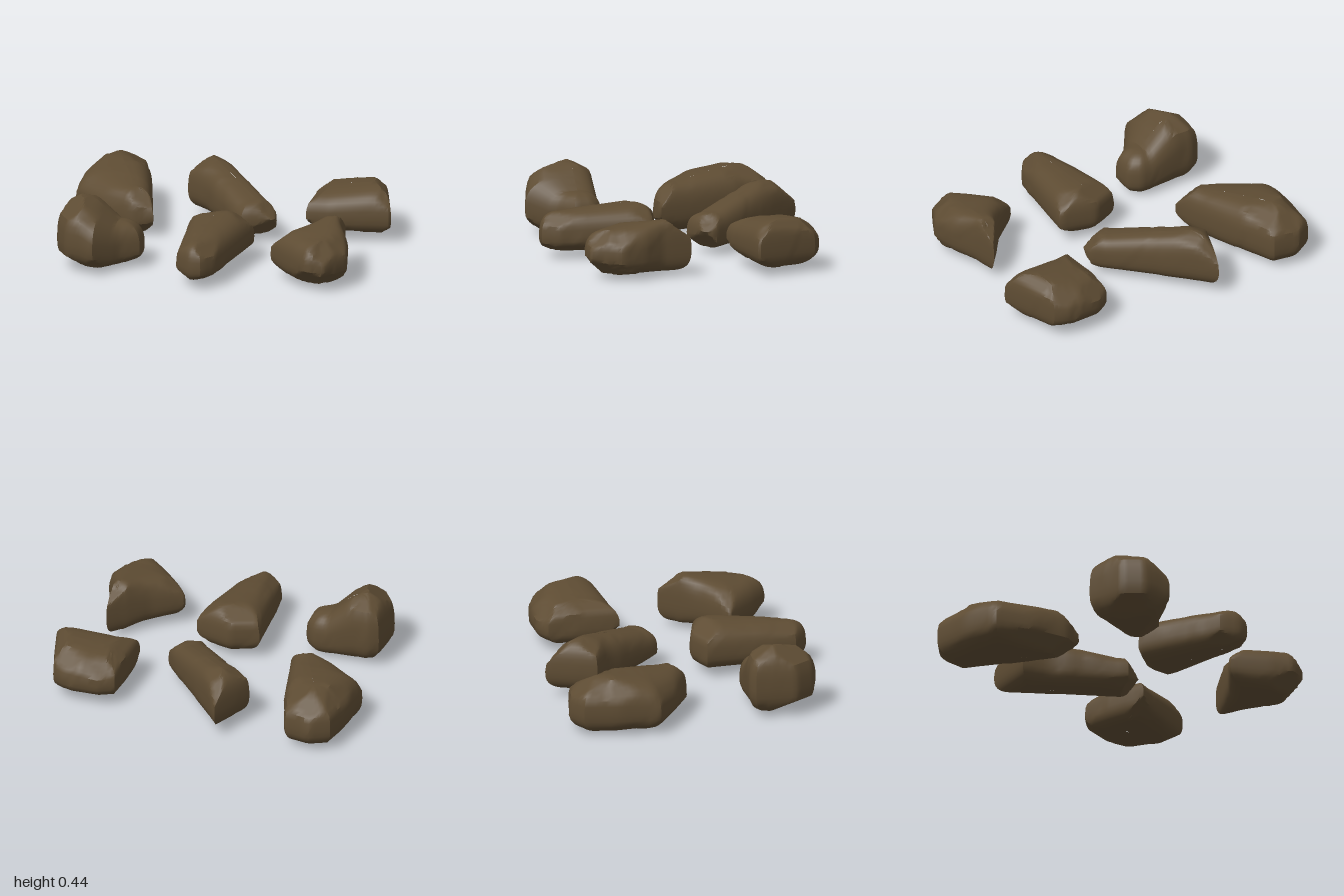
import * as THREE from 'three';
import { toCreasedNormals } from 'three/addons/utils/BufferGeometryUtils.js';

const SEGMENTS = 64, RINGS = 18;
const BELT = 0.4;   // height of the widest girth, as a share of the rock
const BLOCK = 0.73; // below 1 squares the shoulders

function seededRandom(seed) {
  let s = seed * 7919 + 17;
  return () => (s = (s * 16807) % 2147483647) / 2147483647;
}

// Closest point on the ridge line [x, z, height] between its two ends
function nearestOnRidge([a, b], p) {
  const dx = b[0] - a[0], dz = b[1] - a[1];
  const t = ((p.x - a[0]) * dx + (p.z - a[1]) * dz) / (dx * dx + dz * dz);
  return a.map((v, k) => v + (b[k] - v) * THREE.MathUtils.clamp(t, 0, 1));
}

// Rock from a plan outline of [x, z], a ridge and the height of its underside
function rockGeometry(outline, ridge, bottom, seed) {
  const random = seededRandom(seed);
  const corners = outline.map(([x, z]) => new THREE.Vector3(x, 0, z));
  const path = new THREE.CurvePath();
  corners.forEach((c, i) => path.add(new THREE.LineCurve3(c, corners[(i + 1) % corners.length])));
  const rim = path.getSpacedPoints(SEGMENTS).slice(0, SEGMENTS);

  // Blocky rings running from the top ridge, over the rim, to the underside
  const points = [];
  for (let r = 0; r <= RINGS; r++) {
    const angle = (r / RINGS) * Math.PI, c = Math.cos(angle);
    const out = Math.pow(Math.max(Math.sin(angle), 0), BLOCK);
    const up = Math.sign(c) * Math.pow(Math.abs(c), BLOCK);
    for (const p of rim) {
      const [sx, sz, top] = nearestOnRidge(ridge, p);
      const y = bottom + (top - bottom) * (BELT + up * (up > 0 ? 1 - BELT : BELT));
      points.push(new THREE.Vector3(sx + (p.x - sx) * out, y, sz + (p.z - sz) * out));
    }
  }

  // Chisel slanted flat faces off the shoulders
  const centre = new THREE.Box3().setFromPoints(points).getCenter(new THREE.Vector3());
  for (let k = 0; k < 9; k++) {
    const a = k * 2.4 + random();
    const n = new THREE.Vector3(Math.cos(a), (k % 3 ? 1 : -1) * (0.9 + random()), Math.sin(a)).normalize();
    const height = (p) => p.clone().sub(centre).dot(n);
    const reach = Math.max(...points.map(height)) * (0.88 + random() * 0.06);
    for (const p of points) p.addScaledVector(n, -Math.max(0, height(p) - reach));
  }

  // Split the skin into slightly sunken plates, leaving cracked ledges
  const plates = Array.from({ length: 12 }, () => ({
    at: points[Math.floor(random() * points.length)].clone(), sink: random() * 0.05,
  }));
  for (const p of points) {
    const plate = plates.reduce((a, b) => (p.distanceToSquared(a.at) < p.distanceToSquared(b.at) ? a : b));
    const [sx, sz, top] = nearestOnRidge(ridge, p);
    p.lerp(new THREE.Vector3(sx, bottom + (top - bottom) * BELT, sz), plate.sink);
  }

  const index = [];
  for (let r = 0; r < RINGS; r++) {
    for (let i = 0; i < SEGMENTS; i++) {
      const a = r * SEGMENTS + i, b = r * SEGMENTS + (i + 1) % SEGMENTS;
      index.push(a, b, b + SEGMENTS, a, b + SEGMENTS, a + SEGMENTS);
    }
  }
  const geometry = new THREE.BufferGeometry().setFromPoints(points);
  geometry.setIndex(index);
  return toCreasedNormals(geometry, 0.6);
}

export function createModel() {
  const group = new THREE.Group();
  group.name = 'rocks';
  const stone = new THREE.MeshStandardMaterial({ color: 0x5e4c33 });
  stone.name = 'brown stone';

  const addRock = (name, outline, ridge, bottom) => {
    const mesh = new THREE.Mesh(rockGeometry(outline, ridge, bottom, 3 + group.children.length * 8), stone);
    mesh.name = name;
    group.add(mesh);
  };

  // Long humped boulder
  addRock('backLeftRock',
    [[-0.93, -0.8], [-0.8, -0.87], [-0.63, -0.83], [-0.57, -0.62], [-0.45, -0.06], [-0.6, -0.05], [-0.8, -0.16], [-1, -0.33], [-0.98, -0.58]],
    [[-0.77, -0.62, 0.36], [-0.6, -0.2, 0.3]], 0);

  // Narrow slanting slab
  addRock('backMiddleRock',
    [[-0.2, -0.85], [-0.09, -0.7], [0.12, -0.42], [0.3, -0.18], [0.3, -0.1], [0.09, -0.05], [-0.22, -0.45], [-0.34, -0.55]],
    [[-0.17, -0.6, 0.37], [0.16, -0.2, 0.26]], 0.04);

  // Squarish block
  addRock('backRightRock',
    [[0.5, -0.64], [0.6, -0.69], [0.82, -0.69], [0.9, -0.64], [1, -0.23], [0.47, -0.18], [0.48, -0.45]],
    [[0.6, -0.43, 0.31], [0.86, -0.43, 0.34]], 0.04);

  // Peaked lump with a side lobe
  addRock('frontLeftRock',
    [[-0.91, 0.3], [-0.85, 0.27], [-0.48, 0.31], [-0.42, 0.37], [-0.42, 0.5], [-0.54, 0.58], [-0.68, 0.75], [-0.86, 0.69], [-0.94, 0.56]],
    [[-0.75, 0.43, 0.45], [-0.57, 0.44, 0.29]], 0.01);

  // Tapered loaf
  addRock('frontMiddleRock',
    [[-0.18, 0.19], [0, 0.12], [0.24, 0.2], [0.1, 0.77], [0.03, 0.86], [-0.05, 0.86], [-0.15, 0.77], [-0.17, 0.4]],
    [[0.01, 0.26, 0.33], [-0.03, 0.72, 0.29]], 0.04);

  // Pointed wedge
  addRock('frontRightRock',
    [[0.79, 0.13], [0.81, 0.32], [0.87, 0.45], [0.9, 0.61], [0.78, 0.79], [0.66, 0.79], [0.55, 0.68], [0.38, 0.49], [0.57, 0.36]],
    [[0.75, 0.26, 0.36], [0.71, 0.62, 0.31]], 0.03);

  return group;
}
